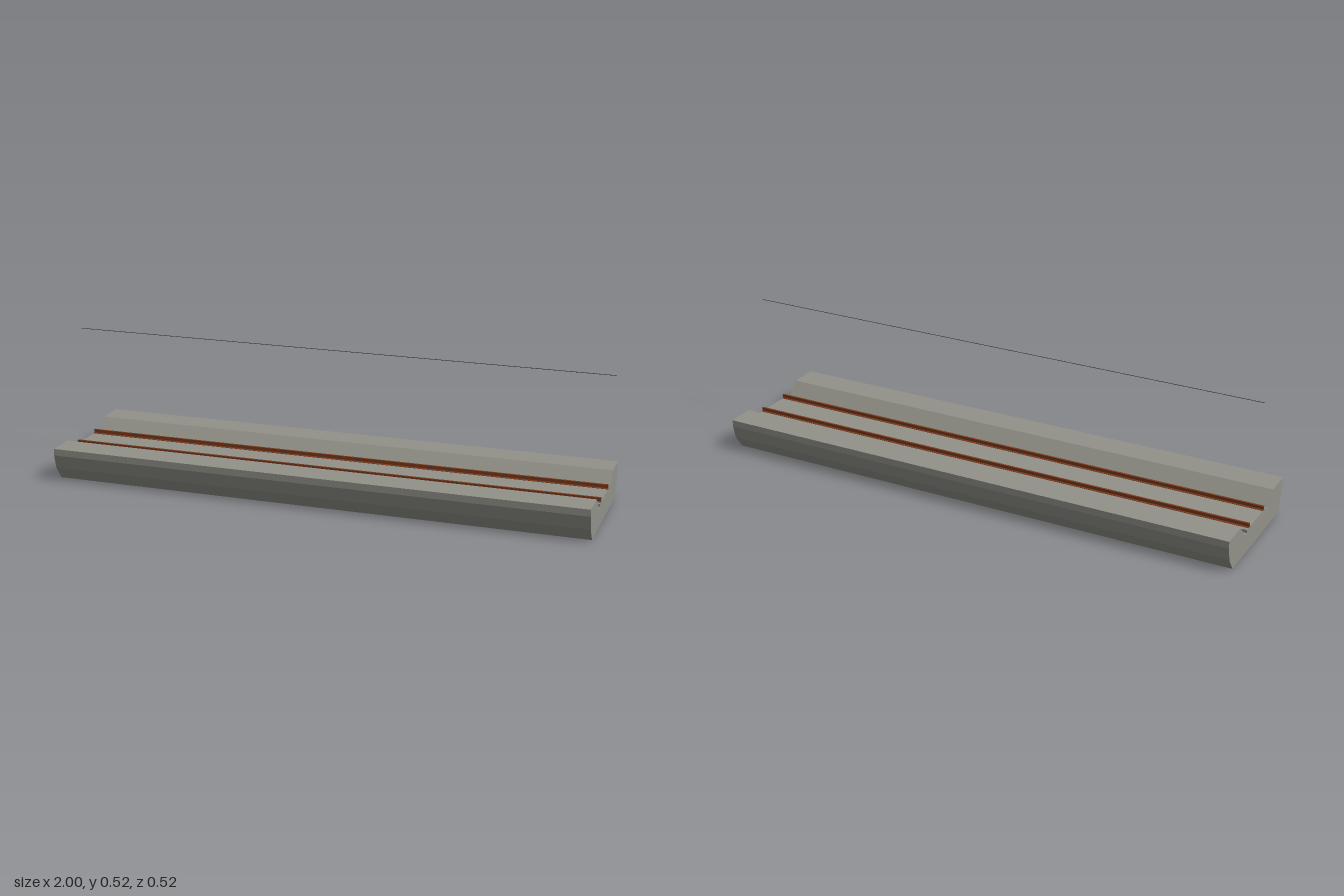
import * as THREE from 'three';

const concrete = new THREE.MeshStandardMaterial({ color: 0x92928a });
concrete.name = 'concrete';
const rust = new THREE.MeshStandardMaterial({ color: 0x7a3a1c });
rust.name = 'rustySteel';
const cable = new THREE.MeshStandardMaterial({ color: 0x3a3a3a });
cable.name = 'darkCable';

const START = -1, LENGTH = 1.98;

// Mirrors half a cross-section [across, up] and extrudes it along x
function mirroredBeam(name, half, material, z = 0) {
  const other = half.map(([a, y]) => [-a, y]).reverse();
  const shape = new THREE.Shape([...half, ...other].map(([a, y]) => new THREE.Vector2(a, y)));
  const geometry = new THREE.ExtrudeGeometry(shape, { depth: LENGTH, bevelEnabled: false });
  geometry.rotateY(Math.PI / 2);
  const mesh = new THREE.Mesh(geometry, material);
  mesh.name = name;
  mesh.position.set(START, 0, z);
  return mesh;
}

export function createModel() {
  const model = new THREE.Group();
  model.name = 'trackTrough';

  // Concrete trough with raised shoulders, drains and a track slab
  model.add(mirroredBeam('concreteTrough', [
    [0.215, 0], [0.25, 0.05], [0.262, 0.1], [0.262, 0.125],
    [0.157, 0.125], [0.111, 0.075], [0.092, 0.075], [0.092, 0.086],
  ], concrete));

  // Two rails with foot, web and head
  const rail = [
    [0.008, 0.0855], [0.008, 0.087], [0.0015, 0.0885],
    [0.0015, 0.098], [0.004, 0.0985], [0.004, 0.101],
  ];
  model.add(mirroredBeam('leftRail', rail, rust, 0.069));
  model.add(mirroredBeam('rightRail', rail, rust, -0.069));

  // Thin overhead wire, slightly longer than the trough
  const wire = new THREE.Mesh(new THREE.CylinderGeometry(0.001, 0.001, 2, 8), cable);
  wire.name = 'overheadWire';
  wire.rotation.z = Math.PI / 2;
  wire.position.y = 0.517;
  model.add(wire);

  return model;
}
